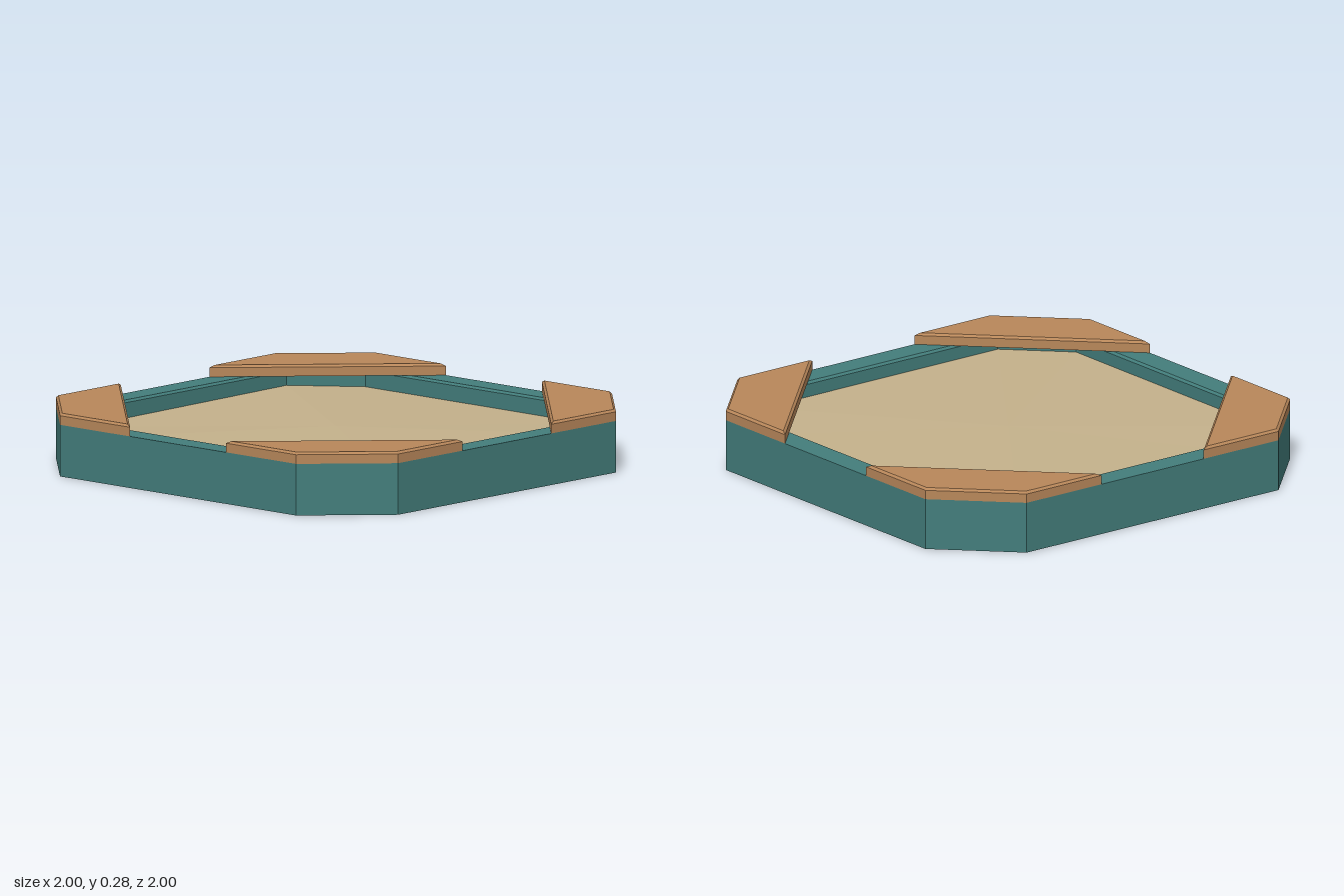
import * as THREE from 'three';

const WALL_HEIGHT = 0.225;
const SEAT_TOP = 0.275;

const mat = (color) => new THREE.MeshStandardMaterial({ color, flatShading: true });

// Chamfered-square outline moved inwards by d, at height y
function octagon(d, y) {
  const a = 1 - d, b = 0.69 - 0.4142 * d;
  return [[a, -b], [a, b], [b, a], [-b, a], [-a, b], [-a, -b], [-b, -a], [b, -a]]
    .map(([x, z]) => new THREE.Vector3(x, y, z));
}

// Corner board outline moved inwards by d, at height y
function board(d, y) {
  const a = 1 - d, b = 0.69 - 0.4142 * d, c = 0.28 + 2.4142 * d;
  return [[a, c], [a, b], [b, a], [c, a]].map(([x, z]) => new THREE.Vector3(x, y, z));
}

// Fan of triangles from a centre point to a ring
function fan(ring, centre, up) {
  return ring.flatMap((p, i) => {
    const q = ring[(i + 1) % ring.length];
    return up ? [centre, q, p] : [centre, p, q];
  });
}

function average(ring) {
  return ring.reduce((s, p) => s.add(p), new THREE.Vector3()).divideScalar(ring.length);
}

// Closed solid skinned through rings, capped at both ends
function loft(rings) {
  const pts = fan(rings[0], average(rings[0]), false);
  for (let r = 0; r + 1 < rings.length; r++) {
    const a = rings[r], b = rings[r + 1];
    a.forEach((p, i) => {
      const j = (i + 1) % a.length;
      pts.push(p, b[i], a[j], a[j], b[i], b[j]);
    });
  }
  const last = rings[rings.length - 1];
  pts.push(...fan(last, average(last), true));
  return flat(pts);
}

function flat(pts) {
  const g = new THREE.BufferGeometry().setFromPoints(pts);
  g.computeVertexNormals();
  return g;
}

export function createModel() {
  const group = new THREE.Group();
  const add = (name, geometry, material) => {
    const mesh = new THREE.Mesh(geometry, material);
    mesh.name = name;
    group.add(mesh);
    return mesh;
  };

  // Tray: outer wall, rim with a small inner bevel, inner wall and floor
  add('trayWall', loft([
    octagon(0, 0), octagon(0, WALL_HEIGHT),
    octagon(0.11, WALL_HEIGHT), octagon(0.12, WALL_HEIGHT - 0.01),
    octagon(0.12, 0.04),
  ]), mat(0x437d7b));

  // Sand: a slightly uneven faceted surface, highest in the middle
  const heights = [0.146, 0.146, 0.158, 0.16, 0.16, 0.158, 0.146, 0.155];
  const edge = octagon(0.12, 0);
  edge.forEach((p, i) => { p.y = heights[i]; });
  add('sand', flat(fan(edge, new THREE.Vector3(0, 0.172, 0), true)), mat(0xc4b18b));

  // Four corner seats with bevelled top edges
  const seatGeometry = loft([
    board(0, WALL_HEIGHT), board(0, SEAT_TOP - 0.01), board(0.01, SEAT_TOP),
  ]);
  const wood = mat(0xb8875a);
  for (let k = 0; k < 4; k++) {
    add('cornerSeat' + (k + 1), seatGeometry, wood).rotation.y = k * Math.PI / 2;
  }
  return group;
}
